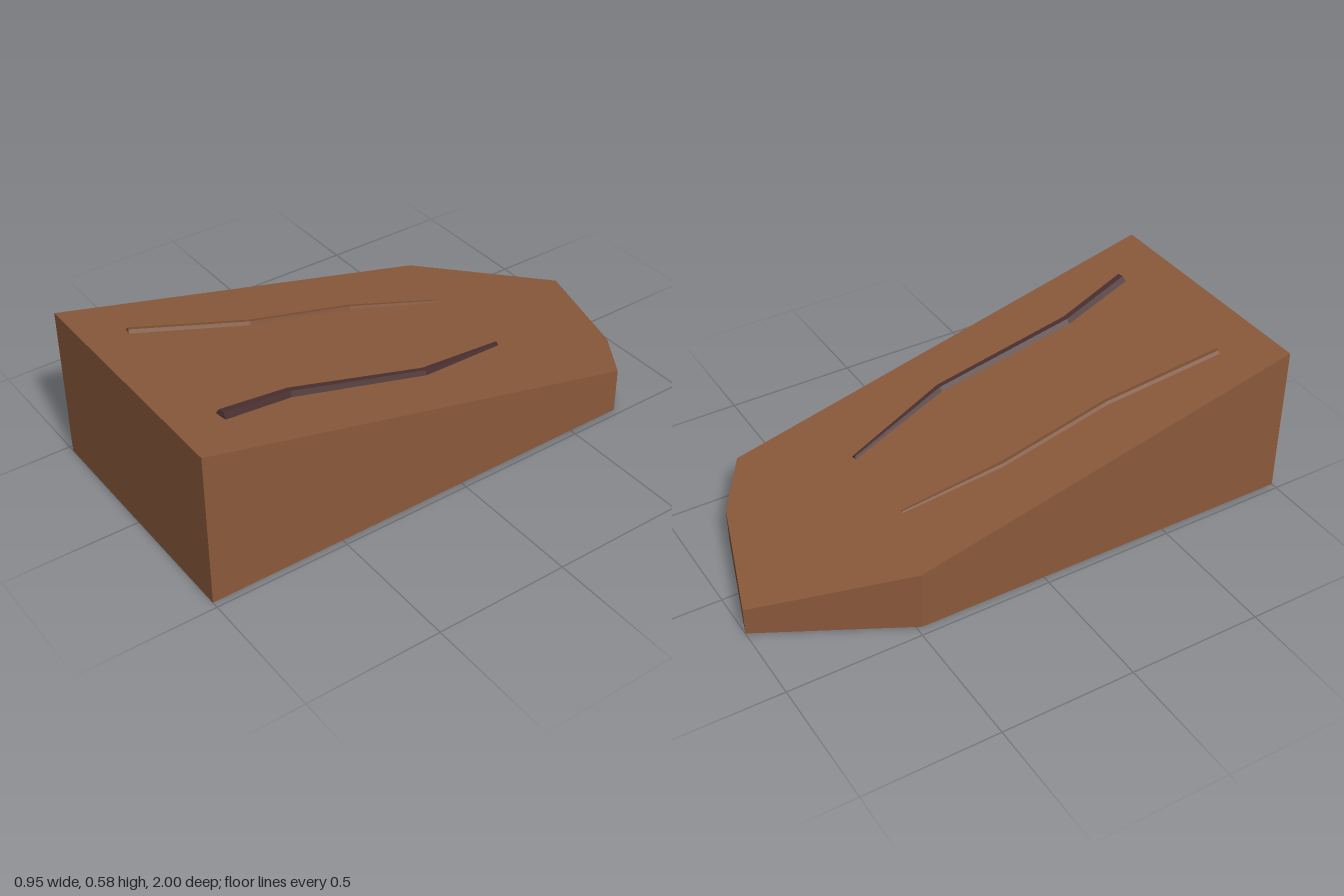
import * as THREE from 'three';

// Height of the sloping top at a given depth
const slope = (z) => 0.345 + 0.24 * z;

// Wedge: outline extruded upward, upper vertices moved onto the slope
function wedgeGeometry() {
  const outline = [[-0.475, 1], [0.475, 1], [0.475, -0.71], [0.27, -0.85], [-0.19, -1], [-0.465, -0.48]];
  const shape = new THREE.Shape(outline.map(([x, z]) => new THREE.Vector2(x, -z)));
  const geo = new THREE.ExtrudeGeometry(shape, { depth: 1, bevelEnabled: false });
  geo.rotateX(-Math.PI / 2);
  const p = geo.attributes.position;
  for (let i = 0; i < p.count; i++) {
    if (p.getY(i) > 0.5) p.setY(i, slope(p.getZ(i)));
  }
  geo.computeVertexNormals();
  return geo;
}

// Tapered six-sided strand half sunk in the slope; stations are [x, z, radius], front to back
function strandGeometry(stations, sides = 6) {
  const positions = [];
  const index = [];
  const points = stations.map(([x, z]) => new THREE.Vector3(x, slope(z), z));
  const up = new THREE.Vector3(0, 1, -0.24).normalize();
  points.forEach((c, i) => {
    const dir = points[Math.min(i + 1, points.length - 1)].clone().sub(points[Math.max(i - 1, 0)]).normalize();
    const side = dir.clone().cross(up).normalize();
    for (let s = 0; s < sides; s++) {
      const a = (s / sides) * Math.PI * 2;
      const v = c.clone()
        .addScaledVector(side, Math.cos(a) * stations[i][2])
        .addScaledVector(up, Math.sin(a) * stations[i][2]);
      positions.push(v.x, v.y, v.z);
    }
  });
  for (let i = 0; i < points.length - 1; i++) {
    for (let s = 0; s < sides; s++) {
      const a = i * sides + s, b = i * sides + (s + 1) % sides;
      index.push(a, b, a + sides, b, b + sides, a + sides);
    }
  }
  // End caps
  const last = (points.length - 1) * sides;
  for (let s = 1; s < sides - 1; s++) {
    index.push(0, s + 1, s, last, last + s, last + s + 1);
  }
  const geo = new THREE.BufferGeometry();
  geo.setAttribute('position', new THREE.Float32BufferAttribute(positions, 3));
  geo.setIndex(index);
  const flat = geo.toNonIndexed();
  flat.computeVertexNormals();
  // Wind every face outward from the strand's centreline
  const p = flat.attributes.position, n = flat.attributes.normal;
  const c = points[0].clone().lerp(points[1], 0.5);
  const a = new THREE.Vector3().fromBufferAttribute(p, 0).sub(c);
  const normal = new THREE.Vector3().fromBufferAttribute(n, 0);
  const axis = points[1].clone().sub(points[0]).normalize();
  a.addScaledVector(axis, -a.dot(axis));
  if (a.dot(normal) < 0) {
    for (let i = 0; i < p.count; i += 3) {
      const u = new THREE.Vector3().fromBufferAttribute(p, i + 1);
      const v = new THREE.Vector3().fromBufferAttribute(p, i + 2);
      p.setXYZ(i + 1, v.x, v.y, v.z);
      p.setXYZ(i + 2, u.x, u.y, u.z);
    }
    flat.computeVertexNormals();
  }
  return flat;
}

export function createModel() {
  const group = new THREE.Group();
  group.name = 'wedgeSlab';

  const material = (name, color) => {
    const m = new THREE.MeshStandardMaterial({ color });
    m.name = name;
    return m;
  };
  const brown = material('brown', 0x8b5a3c);
  const darkBrown = material('darkBrown', 0x4a3030);
  const midBrown = material('midBrown', 0x7a4e32);

  const add = (name, geo, mat) => {
    const mesh = new THREE.Mesh(geo, mat);
    mesh.name = name;
    group.add(mesh);
  };

  add('wedge', wedgeGeometry(), brown);
  add('leftStrand', strandGeometry([
    [0.285, 0.82, 0.023], [0.235, 0.54, 0.021], [0.26, 0.01, 0.018], [0.17, -0.39, 0.01],
  ]), darkBrown);
  add('rightStrand', strandGeometry([
    [-0.29, 0.83, 0.014], [-0.225, 0.4, 0.013], [-0.225, -0.02, 0.012], [-0.175, -0.39, 0.007],
  ]), midBrown);

  return group;
}
